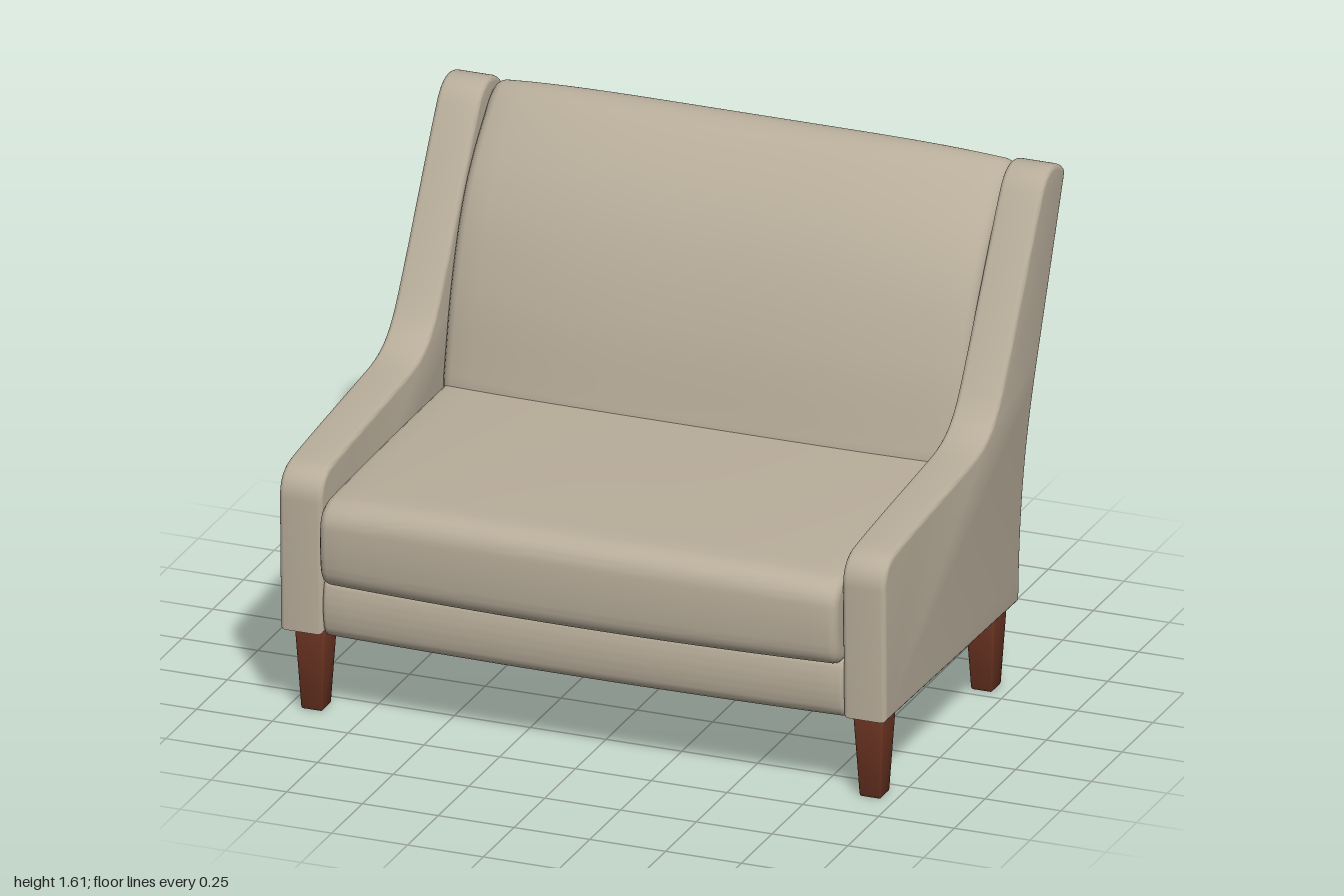
import * as THREE from 'three';
import { toCreasedNormals } from 'three/addons/utils/BufferGeometryUtils.js';
import { RoundedBoxGeometry } from 'three/addons/geometries/RoundedBoxGeometry.js';

const fabric = new THREE.MeshStandardMaterial({ color: 0xb8ad9a });
fabric.name = 'beige fabric';
const wood = new THREE.MeshStandardMaterial({ color: 0x6b3422 });
wood.name = 'brown wood';

// Sweeps a side profile (drawn as z, y) across x with rounded ends; bulge(p, u) then moves
// each vertex, where u runs from 0 in the middle to 1 at either end.
function upholstery(name, shape, width, bevel, steps = 1, bulge = null) {
  const depth = width - 2 * bevel;
  const geo = new THREE.ExtrudeGeometry(shape, {
    depth, steps, curveSegments: 12,
    bevelEnabled: true, bevelSize: bevel, bevelThickness: bevel, bevelOffset: -bevel, bevelSegments: 4,
  });
  geo.translate(0, 0, -depth / 2);
  geo.rotateY(-Math.PI / 2);
  if (bulge) {
    const pos = geo.attributes.position;
    const p = new THREE.Vector3();
    for (let i = 0; i < pos.count; i++) {
      p.fromBufferAttribute(pos, i);
      bulge(p, Math.abs(p.x) / (width / 2));
      pos.setXYZ(i, p.x, p.y, p.z);
    }
  }
  const mesh = new THREE.Mesh(toCreasedNormals(geo, 0.6), fabric);
  mesh.name = name;
  return mesh;
}

// Side panel: low armrest sweeping up into the tall raked back
function armShape() {
  const s = new THREE.Shape();
  s.moveTo(0.69, 0.283);
  s.lineTo(0.70, 0.72);
  s.quadraticCurveTo(0.70, 0.81, 0.60, 0.823);
  s.bezierCurveTo(0.4, 0.845, 0.12, 0.862, -0.02, 0.875);
  s.bezierCurveTo(-0.15, 0.888, -0.2, 0.93, -0.26, 1.02);
  s.bezierCurveTo(-0.36, 1.17, -0.5, 1.42, -0.58, 1.54);
  s.quadraticCurveTo(-0.62, 1.6, -0.68, 1.6);
  s.quadraticCurveTo(-0.73, 1.595, -0.765, 1.565);
  s.quadraticCurveTo(-0.78, 1.555, -0.77, 1.53);
  s.lineTo(-0.55, 1.0);
  s.bezierCurveTo(-0.46, 0.78, -0.41, 0.6, -0.40, 0.265);
  s.closePath();
  return s;
}

function backShape() {
  const s = new THREE.Shape();
  s.moveTo(-0.2, 0.268);
  s.lineTo(-0.2, 0.76);
  s.bezierCurveTo(-0.22, 0.85, -0.235, 0.95, -0.265, 1.05);
  s.bezierCurveTo(-0.325, 1.25, -0.4, 1.42, -0.57, 1.57);
  s.quadraticCurveTo(-0.63, 1.615, -0.68, 1.61);
  s.quadraticCurveTo(-0.75, 1.6, -0.762, 1.54);
  s.lineTo(-0.545, 1.0);
  s.bezierCurveTo(-0.455, 0.78, -0.405, 0.6, -0.392, 0.31);
  s.quadraticCurveTo(-0.39, 0.268, -0.35, 0.268);
  s.closePath();
  return s;
}

function seatShape() {
  const s = new THREE.Shape();
  s.moveTo(-0.3, 0.455);
  s.lineTo(0.71, 0.455);
  s.quadraticCurveTo(0.76, 0.46, 0.77, 0.52);
  s.quadraticCurveTo(0.78, 0.6, 0.774, 0.68);
  s.quadraticCurveTo(0.765, 0.745, 0.69, 0.756);
  s.quadraticCurveTo(0.3, 0.768, -0.3, 0.766);
  s.closePath();
  return s;
}

function baseShape() {
  const s = new THREE.Shape();
  s.moveTo(-0.34, 0.268);
  s.lineTo(0.65, 0.268);
  s.quadraticCurveTo(0.7, 0.27, 0.708, 0.32);
  s.quadraticCurveTo(0.72, 0.38, 0.708, 0.44);
  s.quadraticCurveTo(0.7, 0.48, 0.65, 0.48);
  s.lineTo(-0.34, 0.48);
  s.closePath();
  return s;
}

// Tapered leg, narrower at the floor
function leg(name, x, z) {
  const h = 0.29;
  const geo = new RoundedBoxGeometry(0.104, h, 0.11, 2, 0.01);
  const pos = geo.attributes.position;
  for (let i = 0; i < pos.count; i++) {
    const k = 0.68 + 0.32 * (pos.getY(i) / h + 0.5);
    pos.setX(i, pos.getX(i) * k);
    pos.setZ(i, pos.getZ(i) * k);
  }
  geo.translate(0, h / 2, 0);
  const mesh = new THREE.Mesh(toCreasedNormals(geo, 0.6), wood);
  mesh.name = name;
  mesh.position.set(x, 0, z);
  return mesh;
}

export function createModel() {
  const group = new THREE.Group();
  group.name = 'loveseat';

  // Arms and legs, mirrored
  for (const [side, sx] of [['left', 1], ['right', -1]]) {
    const arm = upholstery(side + 'Arm', armShape(), 0.142, 0.016);
    arm.position.x = sx * 0.929;
    group.add(arm);
    group.add(leg(side + 'FrontLeg', sx * 0.921, 0.588));
    group.add(leg(side + 'BackLeg', sx * 0.921, -0.32));
  }

  // Backrest: front and top are fullest in the middle
  group.add(upholstery('backrest', backShape(), 1.715, 0.035, 24, (p, u) => {
    const rear = -0.4 - 0.37 * Math.pow(Math.max(0, (p.y - 0.6) / 0.95), 1.2);
    const front = THREE.MathUtils.clamp((p.z - rear) / 0.2, 0, 1);
    p.z -= 0.065 * u ** 3 * front;
    p.y -= 0.03 * u ** 4 * THREE.MathUtils.smoothstep(p.y, 1.2, 1.6);
  }));

  // Seat cushion: crowned top and bowed front
  group.add(upholstery('seatCushion', seatShape(), 1.71, 0.028, 24, (p, u) => {
    p.z -= 0.035 * u ** 2 * THREE.MathUtils.smoothstep(p.z, 0, 0.7);
    p.y -= 0.022 * u ** 3 * THREE.MathUtils.smoothstep(p.y, 0.5, 0.75);
  }));

  // Base rail under the cushion
  group.add(upholstery('base', baseShape(), 1.72, 0.015, 24, (p, u) => {
    p.z -= 0.02 * u ** 2 * THREE.MathUtils.smoothstep(p.z, 0, 0.7);
  }));

  return group;
}
